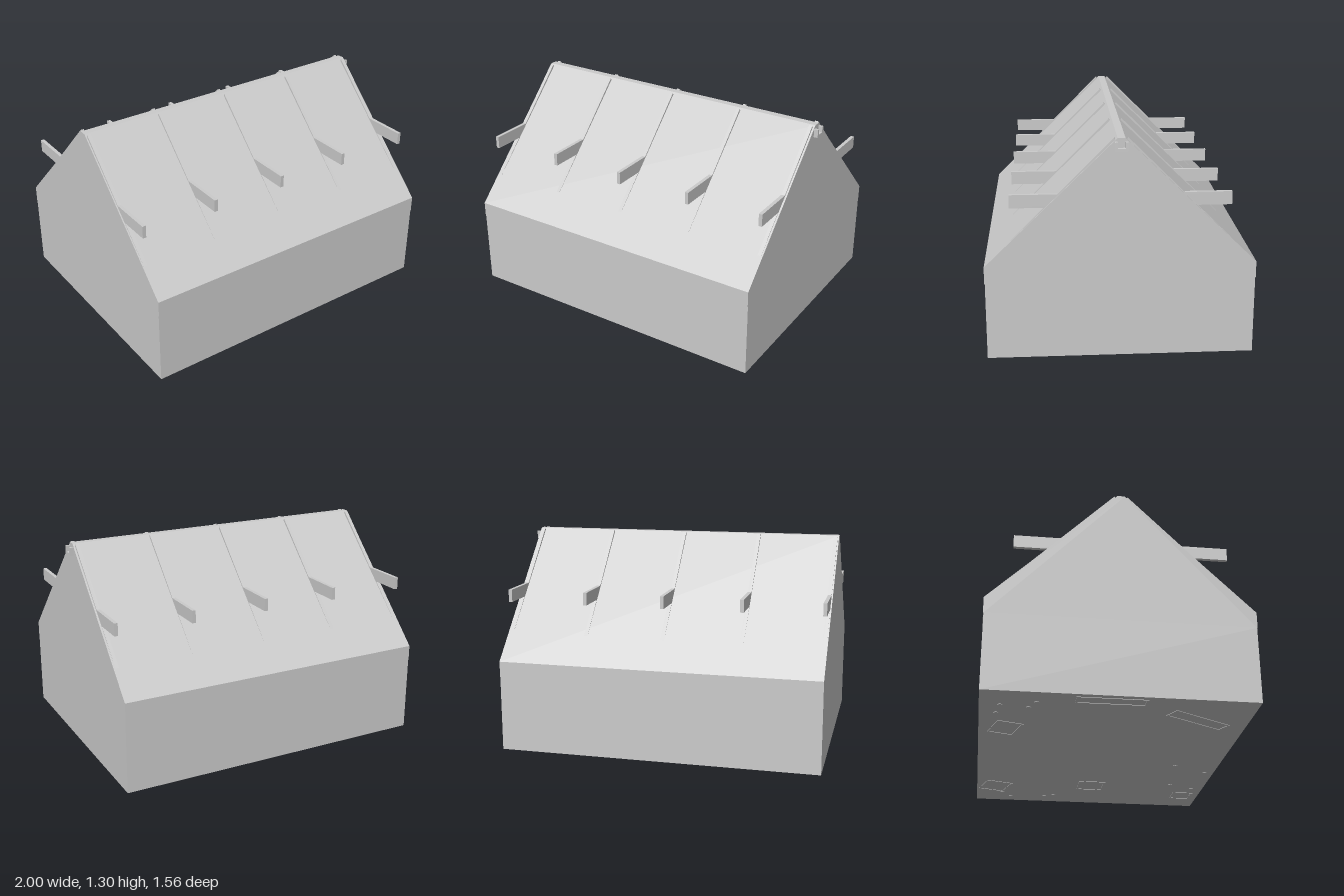
import * as THREE from 'three';

const X0 = -1, X1 = 0.975;

export function createModel() {
  const model = new THREE.Group();
  const mat = new THREE.MeshStandardMaterial({ color: 0xcccccc, flatShading: true });

  const add = (name, geo, x = 0, y = 0, z = 0) => {
    const mesh = new THREE.Mesh(geo, mat);
    mesh.name = name;
    mesh.position.set(x, y, z);
    model.add(mesh);
    return mesh;
  };

  // Extrudes a [z, y] outline along x from xa to xb
  const prism = (points, xa, xb) => {
    const shape = new THREE.Shape(points.map(([z, y]) => new THREE.Vector2(-z, y)));
    const geo = new THREE.ExtrudeGeometry(shape, { depth: xb - xa, bevelEnabled: false });
    return geo.rotateY(Math.PI / 2).translate(xa, 0, 0);
  };

  // Gabled house body: walls with a fine lip, straight roof slopes and a flat ridge
  const half = [[0.777, 0.003], [0.777, 0.467], [0.78, 0.467], [0.78, 0.565], [0.022, 1.305]];
  const mirrored = half.map(([z, y]) => [-z, y]).reverse();
  add('houseBody', prism([...half, ...mirrored], X0, X1));

  // Rafters rising slightly out of the roof near the ridge, and projecting tie beams
  const rafterWidth = 0.022;
  for (let i = 0; i < 5; i++) {
    const x = -0.981 + i * 0.4835;
    for (const s of [1, -1]) {
      const outline = [[0.032, 1.29], [0.04, 1.305], [0.625, 0.718], [0.6, 0.71], [0.032, 1.27]];
      add('rafter', prism(outline.map(([z, y]) => [s * z, y]), x - rafterWidth / 2, x + rafterWidth / 2));
    }
    add('tieBeam', new THREE.BoxGeometry(rafterWidth, 0.077, 1.256), x, 0.948, 0);
  }

  // Open-topped bracket on the gable under the ridge
  add('ridgeBracket', prism([
    [-0.037, 1.285], [-0.037, 1.235], [0.037, 1.235], [0.037, 1.285],
    [0.022, 1.285], [0.022, 1.25], [-0.022, 1.25], [-0.022, 1.285],
  ], X1 - 0.02, 1));

  // Shallow rectangular frames on the underside: x, z, width, depth, turn
  const rect = (path, w, d) => path.moveTo(-w / 2, -d / 2).lineTo(w / 2, -d / 2)
    .lineTo(w / 2, d / 2).lineTo(-w / 2, d / 2).closePath();
  const frames = [
    [0.66, -0.65, 0.2, 0.18, 0.3], [0.58, 0, 0.18, 0.18, 0], [0.73, 0.66, 0.14, 0.14, 0],
    [-0.45, -0.62, 0.2, 0.16, 0.3], [-0.92, -0.05, 0.09, 0.4, 0], [-0.7, 0.48, 0.1, 0.4, 0.5],
  ];
  for (const [x, z, w, d, turn] of frames) {
    const shape = rect(new THREE.Shape(), w, d);
    shape.holes.push(rect(new THREE.Path(), w - 0.024, d - 0.024));
    const geo = new THREE.ExtrudeGeometry(shape, { depth: 0.004, bevelEnabled: false });
    add('undersideFrame', geo.rotateX(-Math.PI / 2), x, 0, z).rotation.y = turn;
  }

  // Small round studs on the underside
  const studs = [
    [0.88, -0.54], [0.8, -0.6], [0.86, -0.3], [0.82, -0.24], [-0.68, -0.68], [-0.8, -0.66],
    [-0.78, -0.5], [-0.86, -0.46], [0.5, 0.54], [0.56, 0.7], [0.1, 0.5], [0.22, 0.72],
  ];
  for (const [x, z] of studs) {
    add('undersideStud', new THREE.CylinderGeometry(0.015, 0.015, 0.004, 12), x, 0.002, z);
  }
  return model;
}
